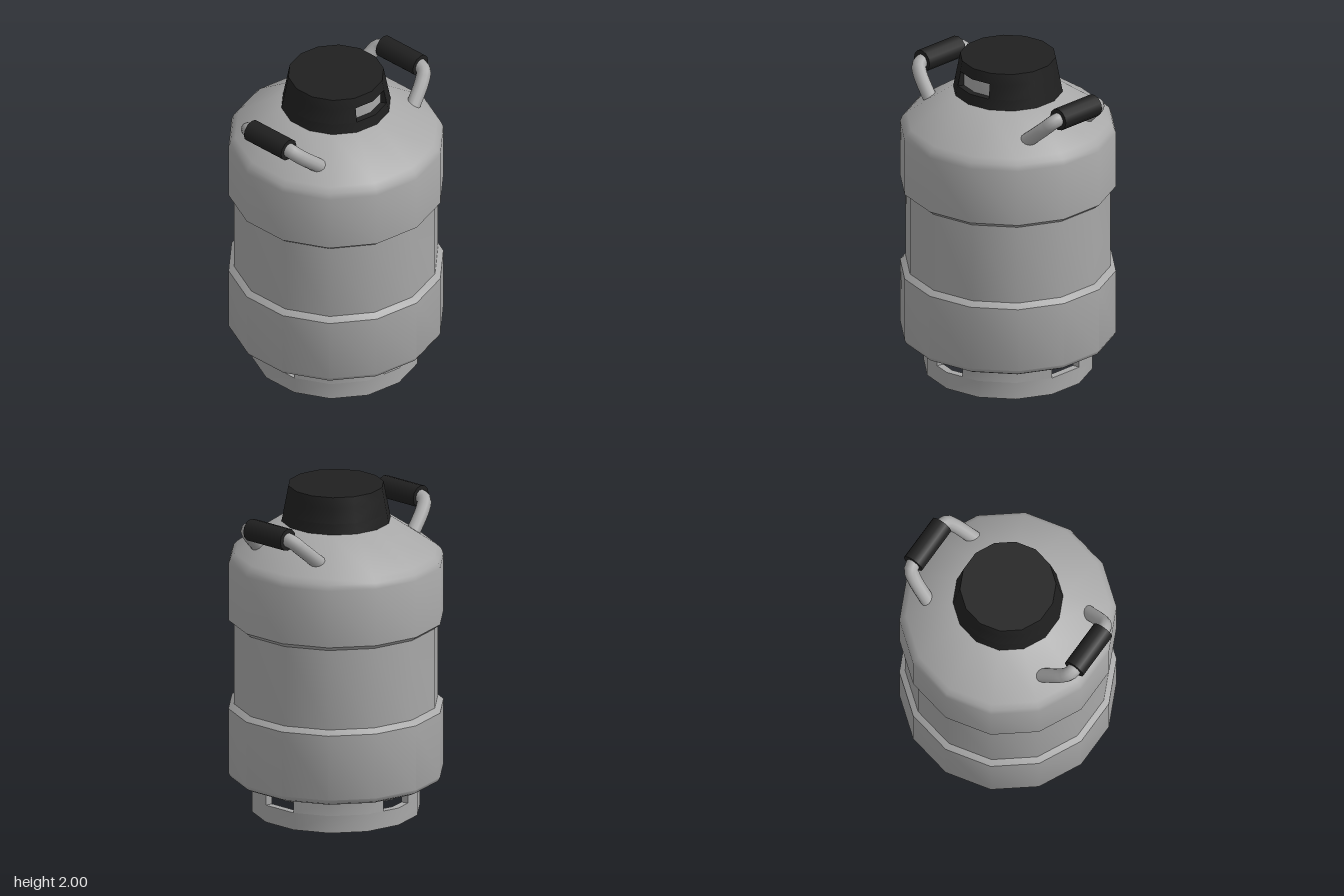
import * as THREE from 'three';
import { toCreasedNormals } from 'three/addons/utils/BufferGeometryUtils.js';

const SIDES = 14;
const CREASE = 0.6;

// Point on a 14-sided outline; k counts corners from +x and may be fractional.
function corner(k, r, y) {
  const at = (i) => {
    const a = (i / SIDES) * Math.PI * 2;
    return new THREE.Vector3(r * Math.cos(a), y, -r * Math.sin(a));
  };
  const i = Math.floor(k);
  return at(i).lerp(at(i + 1), k - i);
}

// Wall swept along the outline; section is four [radius, y] pairs:
// outer bottom, outer top, inner top, inner bottom.
function wall(ks, section) {
  const pos = [];
  const quad = (a, b, c, d) => [a, b, c, a, c, d].forEach((p) => pos.push(p.x, p.y, p.z));
  const loops = ks.map((k) => section.map(([r, y]) => corner(k, r, y)));
  for (let i = 0; i < loops.length - 1; i++) {
    const p = loops[i], q = loops[i + 1];
    for (let j = 0; j < 4; j++) {
      const n = (j + 1) % 4;
      quad(p[j], q[j], q[n], p[n]);
    }
  }
  const s = loops[0], e = loops[loops.length - 1];
  if (s[0].distanceTo(e[0]) > 1e-4) {
    quad(s[0], s[1], s[2], s[3]);
    quad(e[3], e[2], e[1], e[0]);
  }
  const g = new THREE.BufferGeometry();
  g.setAttribute('position', new THREE.Float32BufferAttribute(pos, 3));
  return toCreasedNormals(g, CREASE);
}

function lathe(points) {
  const g = new THREE.LatheGeometry(points.map(([r, y]) => new THREE.Vector2(r, y)), SIDES, Math.PI / 2);
  return toCreasedNormals(g, CREASE);
}

export function createModel() {
  const metal = new THREE.MeshStandardMaterial({ color: 0xa8a8a8 });
  metal.name = 'greyMetal';
  const black = new THREE.MeshStandardMaterial({ color: 0x202020 });
  black.name = 'blackPlastic';

  const model = new THREE.Group();
  model.name = 'storageFlask';
  const add = (parent, name, geometry, material) => {
    const mesh = new THREE.Mesh(geometry, material);
    mesh.name = name;
    parent.add(mesh);
    return mesh;
  };
  const around = Array.from({ length: SIDES + 1 }, (_, i) => i);

  // Body with two raised bands and a conical shoulder
  add(model, 'body', lathe([
    [0, 0.145], [0.45, 0.145], [0.48, 0.175], [0.6, 0.207], [0.628, 0.222], [0.64, 0.245],
    [0.64, 0.642], [0.607, 0.67], [0.607, 1.16], [0.64, 1.187],
    [0.64, 1.535], [0.628, 1.568], [0.6, 1.597], [0.33, 1.782], [0.25, 1.79],
  ]), metal);

  // Foot ring with four openings under the body
  const foot = new THREE.Group();
  foot.name = 'footRing';
  model.add(foot);
  add(foot, 'footBase', wall(around, [[0.5, 0], [0.5, 0.105], [0.455, 0.105], [0.455, 0]]), metal);
  const footTop = [[0.5, 0.105], [0.5, 0.182], [0.455, 0.182], [0.455, 0.105]];
  for (const ks of [[0.49, 1, 2, 3], [4, 5, 6, 6.51], [7.49, 8, 9, 10], [11, 12, 13, 13.51]]) {
    add(foot, 'footPost', wall(ks, footTop), metal);
  }

  // Lid: lower ring, open-fronted middle, solid cap
  const lid = new THREE.Group();
  lid.name = 'lid';
  model.add(lid);
  const outer = (y) => 0.326 - (y - 1.775) * 0.19;
  const lidSection = (y0, y1) => [[outer(y0), y0], [outer(y1), y1], [0.255, y1], [0.255, y0]];
  add(lid, 'lidSkirt', wall(around, lidSection(1.775, 1.845)), black);
  add(lid, 'lidBand', wall([0.96, ...around.slice(1, SIDES), 13.04], lidSection(1.845, 1.935)), black);
  add(lid, 'lidCap', lathe([[0, 1.935], [outer(1.935), 1.935], [outer(2), 2], [0, 2]]), black);
  // Neck showing through the lid window
  add(lid, 'neck', lathe([[0.275, 1.78], [0.275, 1.94]]), metal);

  // Carrying handles, front and back
  const half = [[0.245, 1.635, 0.385], [0.205, 1.765, 0.53], [0.18, 1.805, 0.568], [0.135, 1.817, 0.577]];
  const path = [...half.map(([x, y, z]) => [-x, y, z]), ...half.slice().reverse()]
    .map((p) => new THREE.Vector3(...p));
  const curve = new THREE.CatmullRomCurve3(path, false, 'centripetal');
  for (const [name, turn] of [['frontHandle', 0], ['backHandle', Math.PI]]) {
    const handle = new THREE.Group();
    handle.name = name;
    handle.rotation.y = turn;
    model.add(handle);
    add(handle, 'handleTube', new THREE.TubeGeometry(curve, 40, 0.043, 12), metal);
    const grip = add(handle, 'handleGrip', new THREE.CylinderGeometry(0.067, 0.067, 0.295, 12), black);
    grip.rotation.z = Math.PI / 2;
    grip.position.set(0, 1.817, 0.577);
  }
  return model;
}
